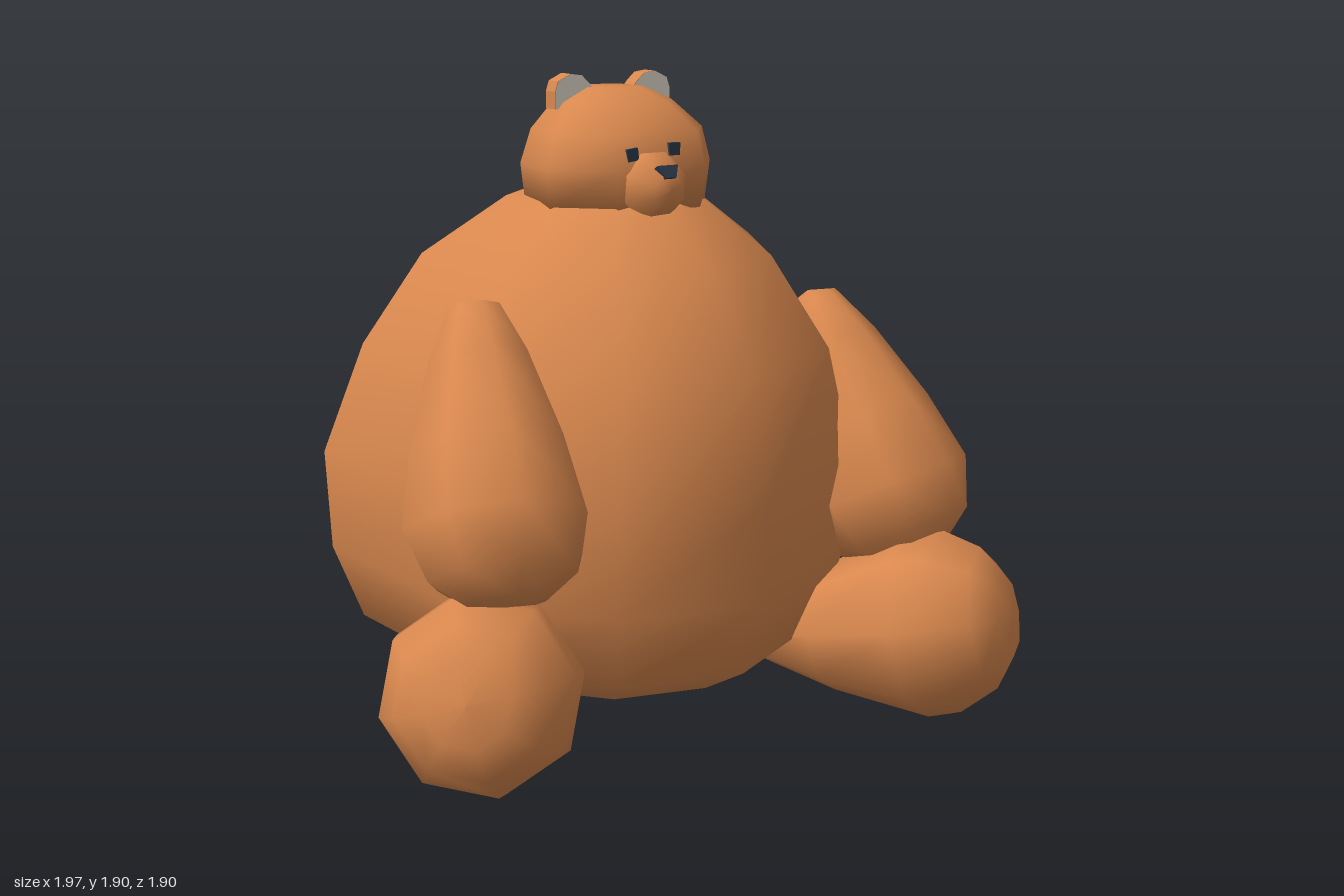
import * as THREE from 'three';

const fur = new THREE.MeshStandardMaterial({ color: 0xd9884e });
fur.name = 'orange brown fur';
const dark = new THREE.MeshStandardMaterial({ color: 0x2c3a4a });
dark.name = 'dark slate';
const cream = new THREE.MeshStandardMaterial({ color: 0xe4ddd0 });
cream.name = 'cream inner ear';

// Stacks scaled copies of an irregular [x, z] ring; level = [y, scale, centreX, centreZ]
function loft(ring, levels) {
  const pos = [], idx = [], n = ring.length;
  for (const [y, s, cx, cz] of levels) {
    for (const [x, z] of ring) pos.push(cx + x * s, y, cz + z * s);
  }
  for (let l = 0; l < levels.length - 1; l++) {
    for (let i = 0; i < n; i++) {
      const a = l * n + i, b = l * n + (i + 1) % n;
      idx.push(a, a + n, b, b, a + n, b + n);
    }
  }
  const last = levels.length - 1, bottom = levels.length * n, top = bottom + 1;
  pos.push(levels[0][2], levels[0][0], levels[0][3]);
  pos.push(levels[last][2], levels[last][0], levels[last][3]);
  for (let i = 0; i < n; i++) {
    const j = (i + 1) % n;
    idx.push(bottom, i, j, top, last * n + j, last * n + i);
  }
  const g = new THREE.BufferGeometry();
  g.setAttribute('position', new THREE.Float32BufferAttribute(pos, 3));
  g.setIndex(idx);
  g.computeVertexNormals();
  return g;
}

// Round form turned about the line from a to b; profile = [radius, fraction of the line]
function turned(a, b, profile, sides = 8) {
  const start = new THREE.Vector3(...a);
  const dir = new THREE.Vector3(...b).sub(start);
  const len = dir.length();
  const g = new THREE.LatheGeometry(
    profile.map(([r, t]) => new THREE.Vector2(r, t * len)), sides, Math.PI / sides);
  g.applyQuaternion(new THREE.Quaternion().setFromUnitVectors(
    new THREE.Vector3(0, 1, 0), dir.normalize()));
  g.translate(...a);
  return g;
}

export function createModel() {
  const model = new THREE.Group();
  model.name = 'sittingBear';
  const add = (name, geometry, material = fur, parent = model) => {
    const mesh = new THREE.Mesh(geometry, material);
    mesh.name = name;
    parent.add(mesh);
    return mesh;
  };

  // Big round body
  const bodyRing = [[0.12, -0.79], [0.62, -0.6], [0.82, -0.09], [0.52, 0.53], [0.04, 0.78],
    [-0.38, 0.68], [-0.72, 0.33], [-0.82, -0.35], [-0.45, -0.69]];
  add('body', loft(bodyRing, [
    [0.08, 0.42, 0.07, -0.14], [0.11, 0.66, 0.05, -0.1], [0.22, 0.88, 0.05, -0.09],
    [0.45, 0.98, 0.05, -0.09], [0.76, 1, 0.05, -0.08], [1.1, 0.87, 0.05, -0.05],
    [1.37, 0.65, 0.04, -0.06], [1.54, 0.36, 0.03, -0.05], [1.56, 0.2, 0.03, -0.05]]));

  // Head
  const headRing = [[-0.1, -0.25], [0.13, -0.23], [0.28, -0.06], [0.27, 0.12],
    [0.16, 0.26], [-0.13, 0.26], [-0.28, 0.11], [-0.26, -0.09]];
  add('head', loft(headRing, [
    [1.52, 0.95, 0.02, -0.04], [1.64, 1, 0.02, -0.04], [1.74, 0.9, 0.025, -0.04],
    [1.82, 0.62, 0.02, -0.05], [1.86, 0.32, 0.02, -0.05]]));

  // Muzzle, nose and eyes
  add('muzzle', turned([0.01, 1.595, 0.14], [0.01, 1.585, 0.3],
    [[0.085, 0], [0.105, 0.4], [0.095, 0.62], [0.05, 0.97], [0, 1]]));
  const noseShape = new THREE.Shape([[-0.018, -0.02], [0.018, -0.02], [0.034, 0.018],
    [-0.034, 0.018]].map(p => new THREE.Vector2(...p)));
  const nose = add('nose', new THREE.ExtrudeGeometry(noseShape,
    { depth: 0.04, bevelEnabled: false }), dark);
  nose.position.set(0.01, 1.625, 0.262);
  nose.rotation.x = -0.5;
  for (const [name, x, y, tilt] of [['rightEye', -0.06, 1.685, 0.12], ['leftEye', 0.08, 1.695, 0]]) {
    const eye = add(name, new THREE.BoxGeometry(0.036, 0.036, 0.04), dark);
    eye.position.set(x, y, 0.195);
    eye.rotation.z = tilt;
  }

  // Ears with pale fronts
  const earPoints = [[-0.07, -0.1], [0.07, -0.1], [0.068, -0.06], [0.045, -0.03],
    [0.018, -0.005], [-0.018, 0], [-0.06, -0.02], [-0.07, -0.05]];
  for (const [name, x, side] of [['rightEar', -0.105, -1], ['leftEar', 0.145, 1]]) {
    const shape = new THREE.Shape(earPoints.map(([px, py]) =>
      new THREE.Vector2(-px * side, py)));
    const ear = new THREE.Group();
    ear.name = name;
    ear.position.set(x, 1.9, -0.088);
    model.add(ear);
    add(name + 'Back', new THREE.ExtrudeGeometry(shape, { depth: 0.055, bevelEnabled: false }), fur, ear);
    add(name + 'Inner', new THREE.ShapeGeometry(shape), cream, ear).position.z = 0.058;
  }

  // Drop-shaped arms, shoulder to hand
  const arm = [[0, -0.04], [0.08, 0], [0.15, 0.25], [0.225, 0.65], [0.265, 1],
    [0.21, 1.24], [0.11, 1.36], [0, 1.38]];
  add('leftArm', turned([0.62, 1.2, 0.16], [0.71, 0.65, 0.44], arm));
  add('rightArm', turned([-0.52, 1.27, 0.12], [-0.61, 0.74, 0.42], arm));

  // Cone-like legs ending in round feet
  const leg = [[0, -0.03], [0.06, 0], [0.19, 0.45], [0.285, 0.93], [0.275, 1.1],
    [0.21, 1.3], [0.12, 1.4], [0, 1.42]];
  add('leftLeg', turned([0.38, 0.15, 0.2], [0.71, 0.285, 0.68], leg));
  add('rightLeg', turned([-0.38, 0.14, 0.05], [-0.71, 0.295, 0.5], leg));

  // Stubby tail
  add('tail', turned([0.11, 0.35, -0.7], [0.11, 0.35, -0.95],
    [[0.11, 0], [0.112, 1], [0, 1]], 6));

  return model;
}
